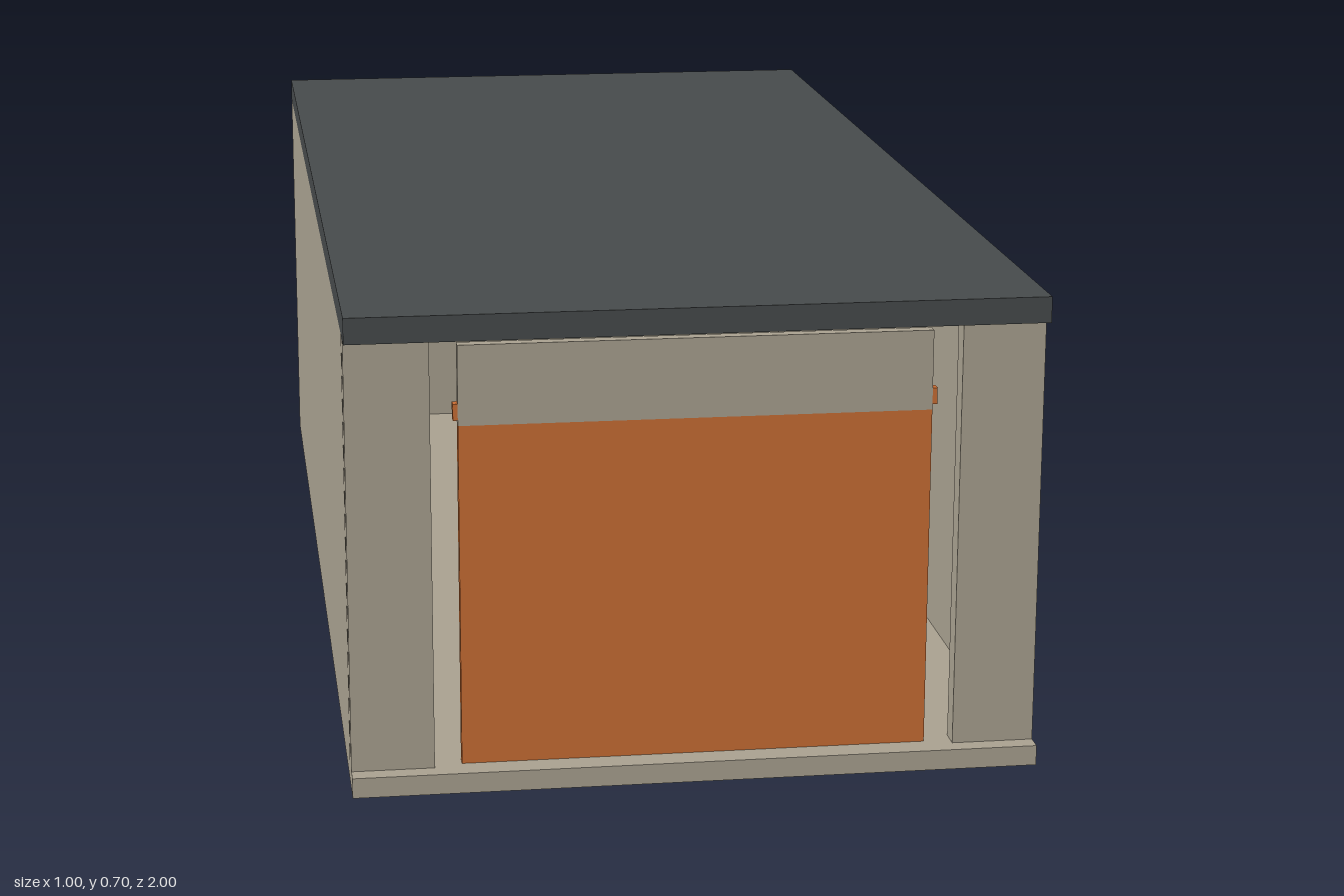
import * as THREE from 'three';

const beige = new THREE.MeshStandardMaterial({ color: 0xa9a190, name: 'beige wall' });
const slate = new THREE.MeshStandardMaterial({ color: 0x464a4b, name: 'slate roof' });
const orange = new THREE.MeshStandardMaterial({ color: 0xc96d33, name: 'orange door' });

export function createModel() {
  const group = new THREE.Group();
  group.name = 'garage';

  // Box given by its minimum and maximum on each axis
  const box = (name, material, [x0, x1], [y0, y1], [z0, z1]) => {
    const mesh = new THREE.Mesh(new THREE.BoxGeometry(x1 - x0, y1 - y0, z1 - z0), material);
    mesh.position.set((x0 + x1) / 2, (y0 + y1) / 2, (z0 + z1) / 2);
    mesh.name = name;
    group.add(mesh);
  };
  // The same box on both sides of the model
  const pair = (name, material, [x0, x1], y, z) => {
    box(name + 'Left', material, [x0, x1], y, z);
    box(name + 'Right', material, [-x1, -x0], y, z);
  };

  const floorTop = 0.03, eaves = 0.667;
  const wallY = [floorTop, eaves];

  // Shell
  box('floorSlab', beige, [-0.5, 0.5], [0, floorTop], [-1, 1]);
  box('roofSlab', slate, [-0.5, 0.5], [eaves, 0.705], [-1, 1]);
  pair('sideWall', beige, [0.47, 0.5], wallY, [-1, 0.93]);
  box('backWall', beige, [-0.47, 0.47], wallY, [-0.973, -0.941]);

  // Front piers, set apart from the side walls by a narrow slot
  pair('frontPier', beige, [0.38, 0.5], wallY, [0.941, 0.973]);

  // Door with its header panel and side pivots
  box('door', orange, [-0.34, 0.34], [floorTop, 0.535], [0.943, 0.961]);
  box('doorHeader', beige, [-0.34, 0.34], [0.535, 0.652], [0.943, 0.961]);
  pair('doorPivot', orange, [0.34, 0.347], [0.543, 0.567], [0.945, 0.961]);

  return group;
}
